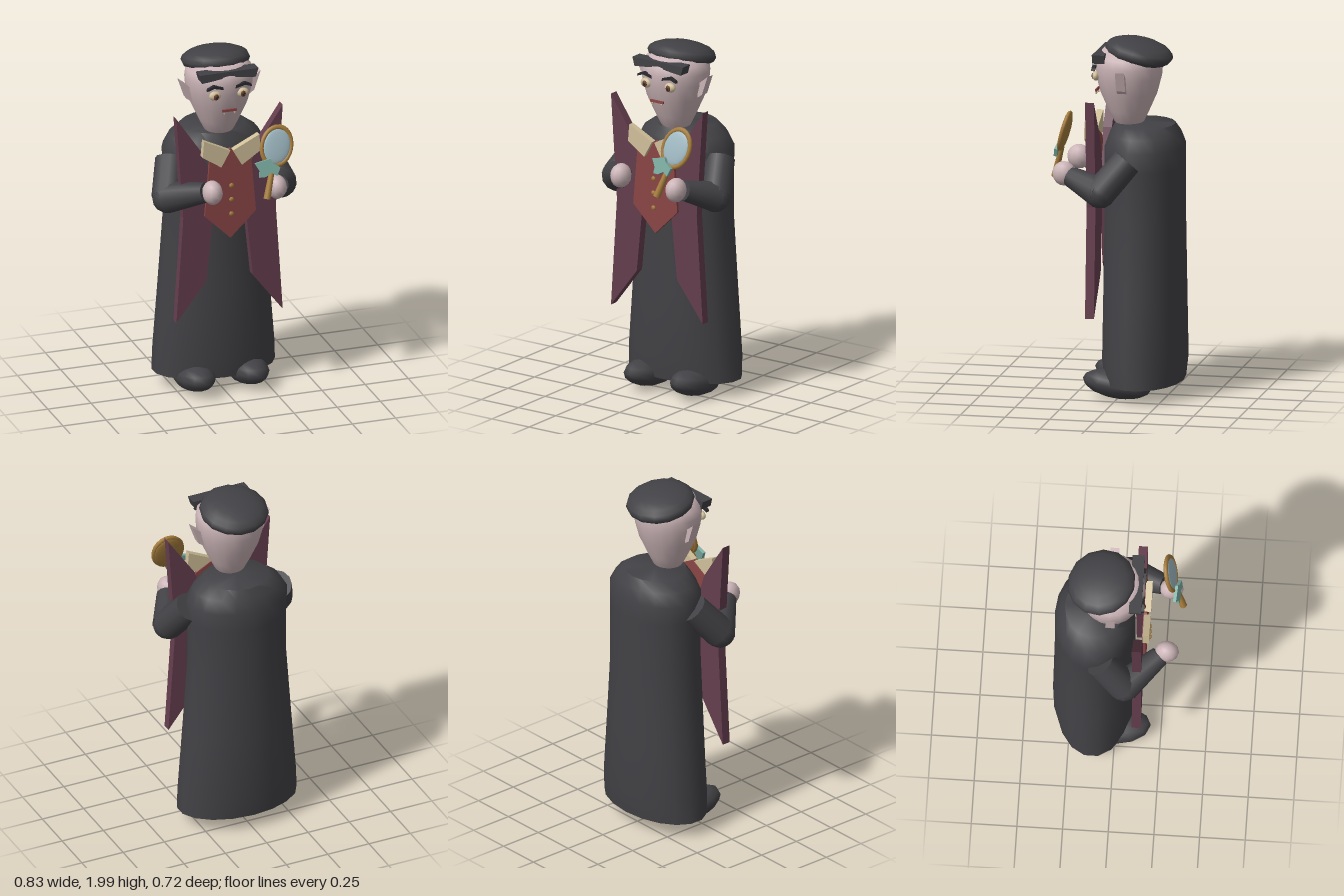
import * as THREE from 'three';
import { toCreasedNormals } from 'three/addons/utils/BufferGeometryUtils.js';

const mat = (name, color) => Object.assign(new THREE.MeshStandardMaterial({ color }), { name });

export function createModel() {
  const charcoal = mat('charcoal', 0x424246), skin = mat('pale skin', 0xcbb4b7);
  const maroon = mat('maroon', 0x653e4e), red = mat('waistcoat red', 0x8a4645);
  const cream = mat('cream', 0xd0c09a), gold = mat('gold', 0xa57c3c);
  const glass = mat('glass blue', 0x9fb9c2), teal = mat('teal', 0x7cada2);
  const brown = mat('iris brown', 0x6a3a2a), black = mat('brow black', 0x2a2a2e);

  const model = new THREE.Group();
  const add = (name, geometry, material, x = 0, y = 0, z = 0, parent = model) => {
    const mesh = new THREE.Mesh(geometry, material);
    mesh.name = name;
    mesh.position.set(x, y, z);
    parent.add(mesh);
    return mesh;
  };
  // Flat outline extruded forward from z; side mirrors it across x
  const plate = (name, points, z, depth, material, side = 1) => {
    const shape = new THREE.Shape(points.map(([x, y]) => new THREE.Vector2(x * side, y)));
    return add(name, new THREE.ExtrudeGeometry(shape, { depth, bevelEnabled: false }), material, 0, 0, z);
  };
  const ball = (name, material, p, r, w = 14, h = 10, parent = model) =>
    add(name, new THREE.SphereGeometry(1, w, h).scale(...r), material, ...p, parent);
  const limb = (name, a, b, r0, r1, material, parent = model) => {
    const from = new THREE.Vector3(...a), to = new THREE.Vector3(...b);
    const dir = to.clone().sub(from);
    const mid = from.clone().add(to).multiplyScalar(0.5);
    const mesh = add(name, new THREE.CylinderGeometry(r1, r0, dir.length(), 12), material, mid.x, mid.y, mid.z, parent);
    mesh.quaternion.setFromUnitVectors(new THREE.Vector3(0, 1, 0), dir.normalize());
    return mesh;
  };

  // Long robe: elliptical rings [y, half width, half depth] with a closed hem and sloping shoulders
  const rings = [[0.1, 0, 0], [0.1, 0.35, 0.215], [0.22, 0.345, 0.23], [0.6, 0.315, 0.225],
    [1.0, 0.285, 0.22], [1.3, 0.285, 0.22], [1.41, 0.29, 0.22], [1.48, 0.25, 0.195], [1.53, 0.18, 0.165], [1.535, 0, 0]];
  const robe = new THREE.LatheGeometry(rings.map(([y, rx]) => new THREE.Vector2(rx, y)), 18);
  const pos = robe.attributes.position;
  for (let i = 0; i < pos.count; i++) {
    const [, rx, rz] = rings[i % rings.length];
    if (rx) pos.setZ(i, pos.getZ(i) * rz / rx);
  }
  robe.computeVertexNormals();
  add('robe', toCreasedNormals(robe, 0.9), charcoal, 0, 0, -0.12);

  // Waistcoat and buttons
  plate('waistcoat', [[-0.12, 1.42], [0, 1.485], [0.12, 1.42], [0.148, 1.1], [0, 0.955], [-0.148, 1.1]], 0.145, 0.02, red);
  for (const y of [1.272, 1.19, 1.105]) ball('button', gold, [0, y, 0.182], [0.014, 0.014, 0.008], 10, 6);

  // Head
  const skull = [[0, 1.47], [0.04, 1.485], [0.085, 1.54], [0.115, 1.6], [0.16, 1.7], [0.184, 1.79],
    [0.189, 1.85], [0.182, 1.9], [0.14, 1.945], [0, 1.965]].map(p => new THREE.Vector2(...p));
  add('head', new THREE.LatheGeometry(skull, 20).scale(1, 1, 0.98), skin, 0, 0, -0.03);
  ball('hair', charcoal, [0, 1.925, -0.085], [0.192, 0.073, 0.19], 14, 10).rotation.x = -0.2;
  plate('hairline', [[-0.17, 1.93], [0.17, 1.93], [0.155, 1.88], [0.08, 1.888], [0, 1.9], [-0.08, 1.888], [-0.155, 1.88]],
    0.075, 0.068, charcoal);
  add('mouth', new THREE.BoxGeometry(0.085, 0.014, 0.009), brown, 0, 1.705, 0.148).material = red;

  for (const s of [1, -1]) {
    // Face details
    ball('eye', cream, [s * 0.08, 1.797, 0.138], [0.035, 0.027, 0.02], 12, 8);
    ball('iris', brown, [s * 0.078, 1.795, 0.155], [0.015, 0.018, 0.007], 10, 6);
    ball('pupil', black, [s * 0.078, 1.795, 0.16], [0.007, 0.009, 0.004], 8, 6);
    plate('eyebrow', [[0.035, 1.832], [0.09, 1.846], [0.13, 1.832], [0.125, 1.846], [0.09, 1.862], [0.038, 1.848]],
      0.135, 0.02, black, s);
    plate('fang', [[0.024, 1.7], [0.036, 1.7], [0.03, 1.682]], 0.143, 0.008, cream, s);
    plate('ear', [[0.17, 1.8], [0.233, 1.85], [0.195, 1.74], [0.165, 1.72]], -0.05, 0.05, skin, s);

    // Cape lapels and shirt collar
    plate('lapel', [[0.308, 1.695], [0.15, 1.46], [0.08, 1.25], [0.105, 1.0], [0.135, 0.71], [0.308, 0.485], [0.268, 1.1]],
      0.1, 0.05, maroon, s);
    plate('collar', [[0.16, 1.555], [0.008, 1.48], [0.06, 1.388], [0.168, 1.46]], 0.15, 0.036, cream, s);

    // Sleeves, hands and shoes
    const hand = s > 0 ? [0.225, 1.275, 0.285] : [-0.146, 1.29, 0.283];
    const elbow = [s * 0.328, 1.2, 0.06];
    limb('upperSleeve', [s * 0.262, 1.365, -0.075], elbow, 0.085, 0.088, charcoal);
    ball('elbow', charcoal, elbow, [0.087, 0.087, 0.087], 12, 8);
    limb('forearmSleeve', elbow, [hand[0] + s * 0.025, hand[1] - 0.01, 0.245], 0.088, 0.056, charcoal);
    ball('hand', skin, hand, [0.056, 0.068, 0.066], 12, 8);
    ball('shoe', charcoal, [s * 0.155, 0.095, 0.005], [0.108, 0.078, 0.192], 12, 8).rotation.x = -0.14;
  }

  // Hand mirror, leaning back and to the side
  const mirror = new THREE.Group();
  mirror.name = 'handMirror';
  mirror.position.set(0.226, 1.512, 0.275);
  mirror.rotation.set(-0.27, 0, -0.28);
  model.add(mirror);
  ball('mirrorBack', gold, [0, 0, -0.002], [0.088, 0.11, 0.017], 24, 8, mirror);
  add('mirrorRim', new THREE.TorusGeometry(0.085, 0.012, 8, 24).scale(1, 1.25, 1), gold, 0, 0, 0.006, mirror);
  ball('mirrorGlass', glass, [0, 0, 0.012], [0.078, 0.098, 0.012], 24, 8, mirror);
  limb('mirrorHandle', [0, -0.295, 0.004], [0, -0.1, 0.002], 0.02, 0.014, gold, mirror);

  // Ribbon on the mirror handle
  const ribbon = plate('ribbon', [[-0.07, 0.035], [0.018, 0.055], [0.03, 0.03], [0.07, 0.0], [0.05, -0.045], [0.02, -0.025],
    [-0.015, -0.045], [-0.05, -0.045], [-0.045, -0.01]], 0, 0.018, teal);
  ribbon.position.set(0.16, 1.405, 0.315);
  ribbon.rotation.set(-0.2, -0.12, 0);

  return model;
}
